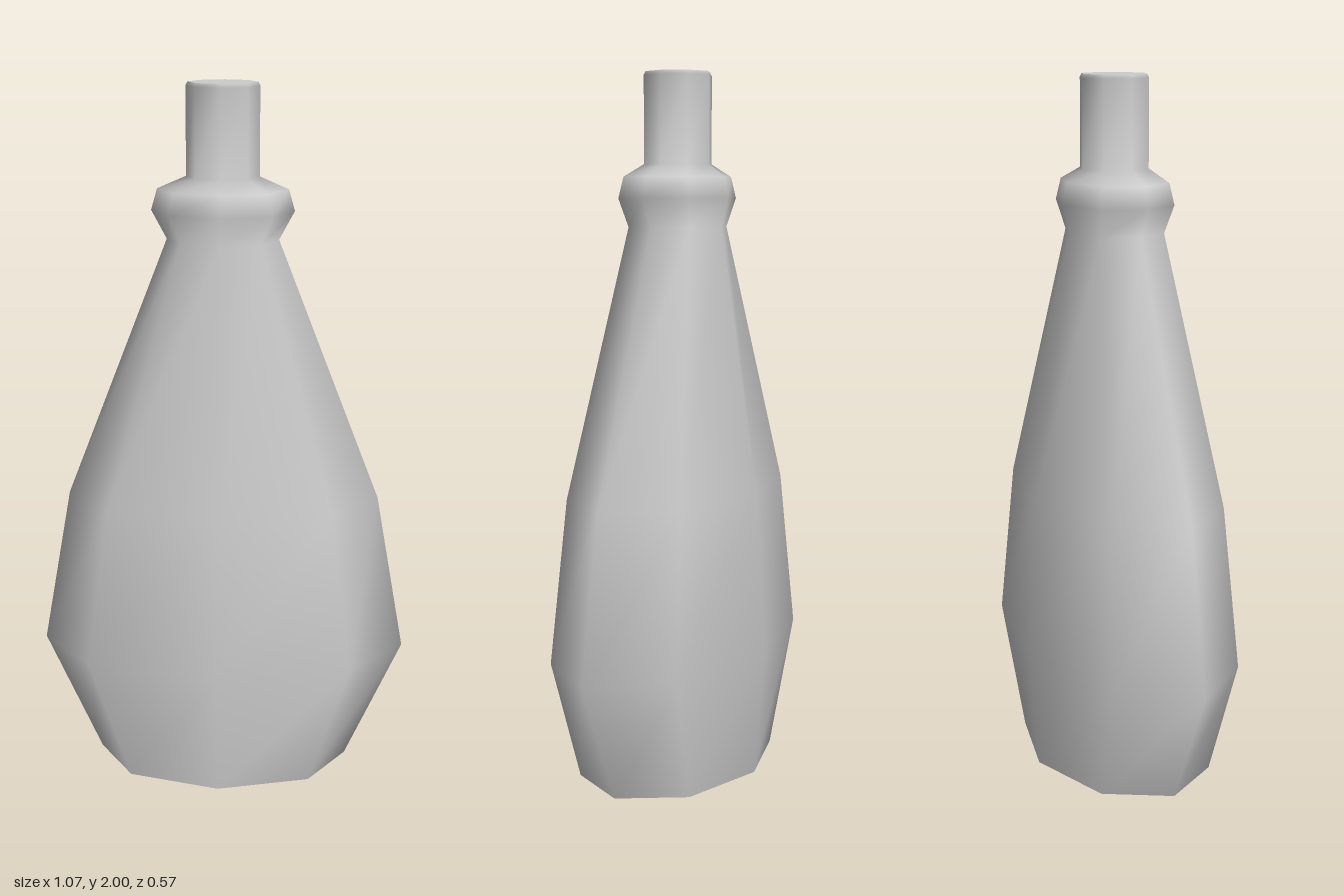
import * as THREE from 'three';

const SIDES = 8;

// Rings as [y, half width in x, half depth in z], from bottom to top
const BODY = [
  [0, 0.37, 0.252],
  [0.36, 0.533, 0.284],
  [0.82, 0.45, 0.254],
  [1.57, 0.157, 0.138],
  [1.65, 0.2, 0.159],
  [1.71, 0.183, 0.145],
  [1.745, 0.102, 0.098],
  [1.99, 0.102, 0.098],
  [2, 0.097, 0.093],
];

function ringPoints([y, rx, rz]) {
  const points = [];
  for (let i = 0; i < SIDES; i++) {
    const a = (i / SIDES) * Math.PI * 2;
    points.push([Math.cos(a) * rx, y, -Math.sin(a) * rz]);
  }
  return points;
}

function makeMesh(name, points, index) {
  const geometry = new THREE.BufferGeometry();
  geometry.setAttribute('position', new THREE.Float32BufferAttribute(points.flat(), 3));
  geometry.setIndex(index);
  geometry.computeVertexNormals();
  const mesh = new THREE.Mesh(geometry, new THREE.MeshStandardMaterial({ color: 0xcccccc }));
  mesh.name = name;
  return mesh;
}

// Smooth wall joining the rings
function makeWall(name, rings) {
  const index = [];
  for (let r = 0; r < rings.length - 1; r++) {
    for (let i = 0; i < SIDES; i++) {
      const j = (i + 1) % SIDES;
      const a = r * SIDES + i, b = r * SIDES + j;
      index.push(a, b, b + SIDES, a, b + SIDES, a + SIDES);
    }
  }
  return makeMesh(name, rings.flatMap(ringPoints), index);
}

// Flat cap closing one ring
function makeCap(name, ring, up) {
  const index = [];
  for (let i = 1; i < SIDES - 1; i++) {
    if (up) index.push(0, i, i + 1);
    else index.push(0, i + 1, i);
  }
  return makeMesh(name, ringPoints(ring), index);
}

export function createModel() {
  const bottle = new THREE.Group();
  bottle.name = 'bottle';
  bottle.add(
    makeWall('bottleWall', BODY),
    makeCap('base', BODY[0], false),
    makeCap('neckTop', BODY[BODY.length - 1], true),
  );
  return bottle;
}
